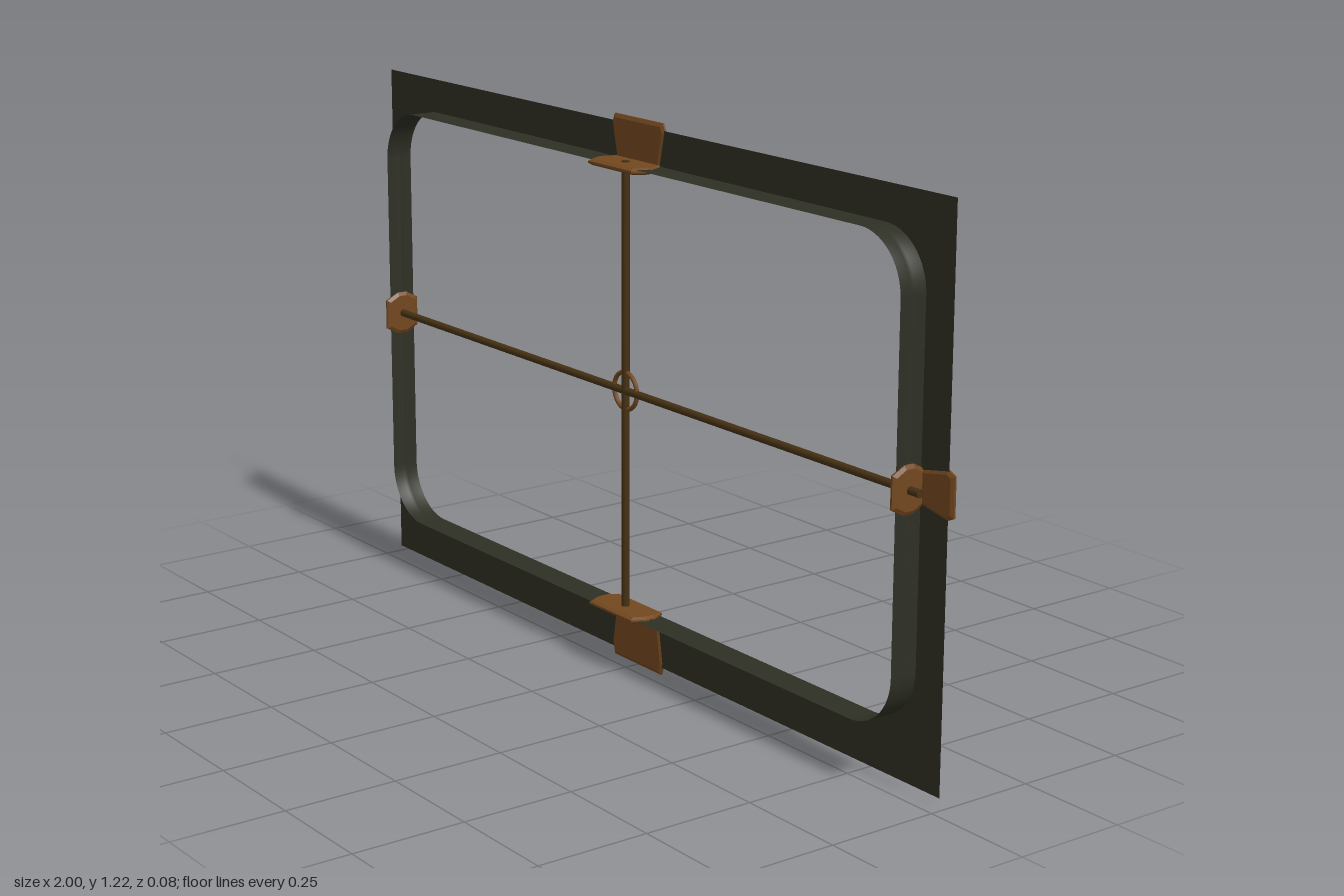
import * as THREE from 'three';

const CY = 0.631; // height of the crossing bars

// Rounded rectangle centred on (0, CY)
function roundedRect(target, hw, hh, r) {
  target.moveTo(-hw + r, CY - hh);
  target.lineTo(hw - r, CY - hh);
  target.absarc(hw - r, CY - hh + r, r, -Math.PI / 2, 0);
  target.lineTo(hw, CY + hh - r);
  target.absarc(hw - r, CY + hh - r, r, 0, Math.PI / 2);
  target.lineTo(-hw + r, CY + hh);
  target.absarc(-hw + r, CY + hh - r, r, Math.PI / 2, Math.PI);
  target.lineTo(-hw, CY - hh + r);
  target.absarc(-hw + r, CY - hh + r, r, Math.PI, Math.PI * 1.5);
  return target;
}

function polygon(points) {
  return new THREE.Shape(points.map(([x, y]) => new THREE.Vector2(x, y)));
}

// Thin plate with chamfered edges, centred on z = 0
function plate(points, thickness) {
  const b = thickness / 3;
  const geo = new THREE.ExtrudeGeometry(polygon(points), {
    depth: b, bevelEnabled: true, bevelThickness: b,
    bevelSize: 0.008, bevelOffset: -0.008, bevelSegments: 1,
  });
  return geo.translate(0, 0, -b / 2);
}

// Band swept around the opening, with a shallow groove at mid depth
function rimGeometry() {
  const profile = [[0, 0.031], [0, 0.004], [0.003, 0], [0, -0.004], [0, -0.033]];
  const rings = profile.map(([d]) =>
    roundedRect(new THREE.Path(), 0.907 - d, 0.495 - d, 0.12 - d).getPoints(12));
  const n = rings[0].length, pos = [], idx = [];
  rings.forEach((ring, k) => ring.forEach((p) => pos.push(p.x, p.y, profile[k][1])));
  for (let k = 0; k < rings.length - 1; k++) {
    for (let i = 0; i < n; i++) {
      const j = (i + 1) % n;
      const a = k * n + i, b = k * n + j, c = a + n, d = b + n;
      idx.push(a, c, b, b, c, d);
    }
  }
  const geo = new THREE.BufferGeometry();
  geo.setAttribute('position', new THREE.Float32BufferAttribute(pos, 3));
  geo.setIndex(idx);
  geo.computeVertexNormals();
  return geo;
}

export function createModel() {
  const model = new THREE.Group();
  model.name = 'windowFrame';

  const frameMat = new THREE.MeshStandardMaterial({ color: 0x2e2f24, side: THREE.DoubleSide });
  frameMat.name = 'dark iron';
  const bracketMat = new THREE.MeshStandardMaterial({ color: 0x72471f });
  bracketMat.name = 'copper brown';
  const barMat = new THREE.MeshStandardMaterial({ color: 0x463114 });
  barMat.name = 'dark bronze';

  const add = (parent, name, geo, mat) => {
    const mesh = new THREE.Mesh(geo, mat);
    mesh.name = name;
    parent.add(mesh);
    return mesh;
  };

  // Flat flange with a rounded opening
  const flange = polygon([[-0.985, 0.018], [0.985, 0.018], [0.985, 1.203], [-0.985, 1.203]]);
  flange.holes.push(roundedRect(new THREE.Path(), 0.907, 0.495, 0.12));
  add(model, 'flange', new THREE.ShapeGeometry(flange, 12).translate(0, 0, -0.033), frameMat);

  // Rim lining the opening
  add(model, 'rim', rimGeometry(), frameMat);

  // Crossing bars
  add(model, 'verticalBar', new THREE.CylinderGeometry(0.009, 0.009, 1.006, 8), barMat)
    .position.set(0, 0.628, 0);
  add(model, 'horizontalBar',
    new THREE.CylinderGeometry(0.009, 0.009, 1.885, 8).rotateZ(Math.PI / 2), barMat)
    .position.set(0, CY, 0);

  // Ring at the crossing
  add(model, 'centreRing', new THREE.TorusGeometry(0.041, 0.005, 8, 32), bracketMat)
    .position.set(0, CY, 0);

  // Angle brackets: a tapered back plate and a lip across the rim
  const bracket = (name, x, y, angle, inner, outer, length) => {
    const group = new THREE.Group();
    group.name = name;
    const back = plate([[-inner, -0.005], [inner, -0.005], [outer, length * 0.8],
      [outer - 0.008, length], [-outer + 0.008, length], [-outer, length * 0.8]], 0.012);
    add(group, 'backPlate', back, bracketMat).position.z = -0.036;
    const tip = outer - 0.016;
    const lip = plate([[-tip, -0.042], [tip, -0.042], [outer, -0.012], [outer, 0.012],
      [tip, 0.042], [-tip, 0.042], [-outer, 0.012], [-outer, -0.012]], 0.014);
    add(group, 'lip', lip.rotateX(-Math.PI / 2), bracketMat);
    group.position.set(x, y, 0);
    group.rotation.z = angle;
    model.add(group);
  };
  bracket('topBracket', 0, 1.122, 0, 0.075, 0.093, 0.096);
  bracket('bottomBracket', 0, 0.137, Math.PI, 0.075, 0.093, 0.137);
  bracket('leftBracket', 0.907, CY, -Math.PI / 2, 0.035, 0.05, 0.093);
  bracket('rightBracket', -0.907, CY, Math.PI / 2, 0.035, 0.05, 0.093);

  return model;
}
